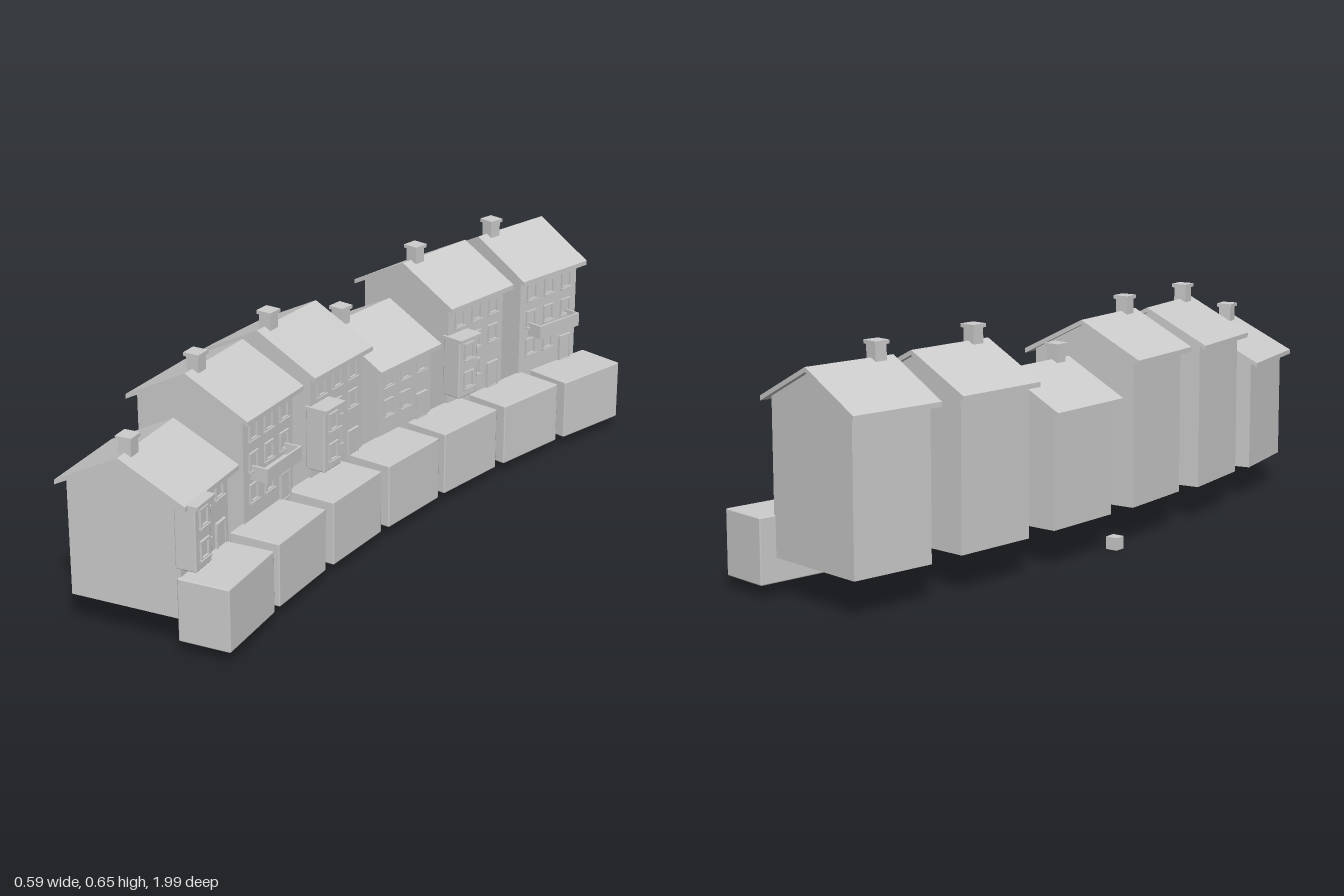
import * as THREE from 'three';
import { RoundedBoxGeometry } from 'three/addons/geometries/RoundedBoxGeometry.js';

const grey = new THREE.MeshStandardMaterial({ color: 0xcccccc });
grey.name = 'plain grey';

const WALL_X = 0.16, WALL_Z = 0.122;   // half sizes of the house walls
const ROOF_X = 0.186, ROOF_Z = 0.138;  // half sizes of the roof
const SLOPE = 0.51, ROOF_T = 0.013;

function add(parent, name, geometry, x = 0, y = 0, z = 0) {
  const mesh = new THREE.Mesh(geometry, grey);
  mesh.name = name;
  mesh.position.set(x, y, z);
  parent.add(mesh);
  return mesh;
}

const box = (w, h, d) => new THREE.BoxGeometry(w, h, d);

// Extrude an x/y outline, centred along z
function prism(points, halfDepth) {
  const shape = new THREE.Shape(points.map(([x, y]) => new THREE.Vector2(x, y)));
  return new THREE.ExtrudeGeometry(shape, { depth: halfDepth * 2, bevelEnabled: false })
    .translate(0, 0, -halfDepth);
}

// Window frame with an opening, facing +x
function frameGeometry(w, h, bar, depth) {
  const s = new THREE.Shape();
  s.moveTo(-w / 2, -h / 2).lineTo(w / 2, -h / 2).lineTo(w / 2, h / 2).lineTo(-w / 2, h / 2).closePath();
  const hole = new THREE.Path();
  const a = w / 2 - bar, b = h / 2 - bar;
  hole.moveTo(-a, -b).lineTo(-a, b).lineTo(a, b).lineTo(a, -b).closePath();
  s.holes.push(hole);
  return new THREE.ExtrudeGeometry(s, { depth, bevelEnabled: false }).rotateY(Math.PI / 2);
}

function addWindow(parent, x, y, z) {
  const win = new THREE.Group();
  win.name = 'window';
  win.position.set(x, y, z);
  add(win, 'windowFrame', frameGeometry(0.042, 0.052, 0.006, 0.006));
  add(win, 'windowSill', box(0.01, 0.006, 0.046), 0.005, -0.026, 0);
  parent.add(win);
}

function addDoor(parent, z) {
  add(parent, 'door', box(0.006, 0.075, 0.04), WALL_X + 0.002, 0.147, z);
  add(parent, 'doorFrame', frameGeometry(0.048, 0.08, 0.005, 0.008), WALL_X, 0.147, z);
}

// Two-storey bay with a lid and its own windows
function addBay(parent, z) {
  const bay = new THREE.Group();
  bay.name = 'bay';
  bay.position.z = z;
  add(bay, 'bayBody', new RoundedBoxGeometry(0.06, 0.174, 0.08, 1, 0.004), WALL_X + 0.014, 0.225, 0);
  add(bay, 'bayLid', box(0.07, 0.01, 0.092), WALL_X + 0.02, 0.316, 0);
  for (const y of [0.19, 0.277]) addWindow(bay, WALL_X + 0.044, y, 0);
  parent.add(bay);
}

// Open balcony: floor, front panel and end panels
function addBalcony(parent) {
  const b = new THREE.Group();
  b.name = 'balcony';
  b.position.set(WALL_X, 0.23, 0);
  add(b, 'balconyFloor', box(0.05, 0.008, 0.17), 0.025, 0, 0);
  add(b, 'balconyFront', box(0.006, 0.036, 0.17), 0.047, 0.018, 0);
  for (const s of [-1, 1]) add(b, 'balconyEnd', box(0.05, 0.036, 0.006), 0.025, 0.018, s * 0.082);
  parent.add(b);
}

function house({ x, z, turn, base, tall, bay, balcony }) {
  const h = new THREE.Group();
  h.name = tall ? 'tallHouse' : 'lowHouse';
  h.position.set(x, base, z);
  h.rotation.y = THREE.MathUtils.degToRad(turn);
  const ridge = tall ? 0.507 : 0.414;
  const apex = ridge - ROOF_T, shoulder = apex - WALL_X * SLOPE;

  // Walls with gables
  add(h, 'walls', prism([[-WALL_X, 0], [WALL_X, 0], [WALL_X, shoulder], [0, apex], [-WALL_X, shoulder]], WALL_Z));

  // Pitched roof
  const eave = ridge - ROOF_X * SLOPE;
  add(h, 'roof', prism([
    [-ROOF_X, eave - ROOF_T], [0, apex], [ROOF_X, eave - ROOF_T],
    [ROOF_X, eave], [0, ridge], [-ROOF_X, eave],
  ], ROOF_Z));

  // Chimney on the ridge
  add(h, 'chimney', box(0.036, 0.06, 0.036), 0, ridge + 0.004, 0.084);
  add(h, 'chimneyCap', box(0.046, 0.01, 0.046), 0, ridge + 0.038, 0.084);

  // Street side windows and door
  const columns = [0.075, 0, -0.075];
  const rows = tall ? [0.19, 0.277, 0.362] : [0.19, 0.277];
  for (const y of rows) {
    for (const c of columns) {
      const behindBay = bay && c > 0 && y < 0.3;
      const atDoor = c < 0 && y < 0.2;
      if (!behindBay && !atDoor) addWindow(h, WALL_X, y, c);
    }
  }
  addDoor(h, -0.075);
  if (bay) addBay(h, 0.083);
  if (balcony) addBalcony(h);
  return h;
}

export function createModel() {
  const model = new THREE.Group();
  model.name = 'curvedTerrace';

  // Curved row of houses
  const houses = [
    { x: -0.035, z: -0.83, turn: -10, base: 0.099, tall: true, balcony: true },
    { x: -0.082, z: -0.5, turn: -6, base: 0.103, tall: true, bay: true },
    { x: -0.107, z: -0.17, turn: -2, base: 0.105 },
    { x: -0.104, z: 0.163, turn: 3, base: 0.103, tall: true, bay: true },
    { x: -0.082, z: 0.495, turn: 7, base: 0.097, tall: true, balcony: true },
    { x: -0.032, z: 0.823, turn: 11, base: 0.09, bay: true },
  ];
  for (const spec of houses) model.add(house(spec));

  // Row of blocks in front: x, z, turn, top
  const blocks = [
    [0.198, -0.841, -10.5, 0.209], [0.152, -0.573, -7.5, 0.213], [0.122, -0.299, -4, 0.216],
    [0.115, -0.025, 0, 0.217], [0.122, 0.251, 4, 0.216], [0.147, 0.526, 7.5, 0.212], [0.193, 0.794, 11, 0.208],
  ];
  for (const [x, z, turn, top] of blocks) {
    const height = top - 0.033;
    const m = add(model, 'quayBlock', new RoundedBoxGeometry(0.147, height, 0.238, 1, 0.004), x, 0.033 + height / 2, z);
    m.rotation.y = THREE.MathUtils.degToRad(turn);
  }

  // Small loose cube behind the row
  add(model, 'smallCube', box(0.034, 0.035, 0.034), -0.258, 0.0175, -0.017);
  return model;
}
